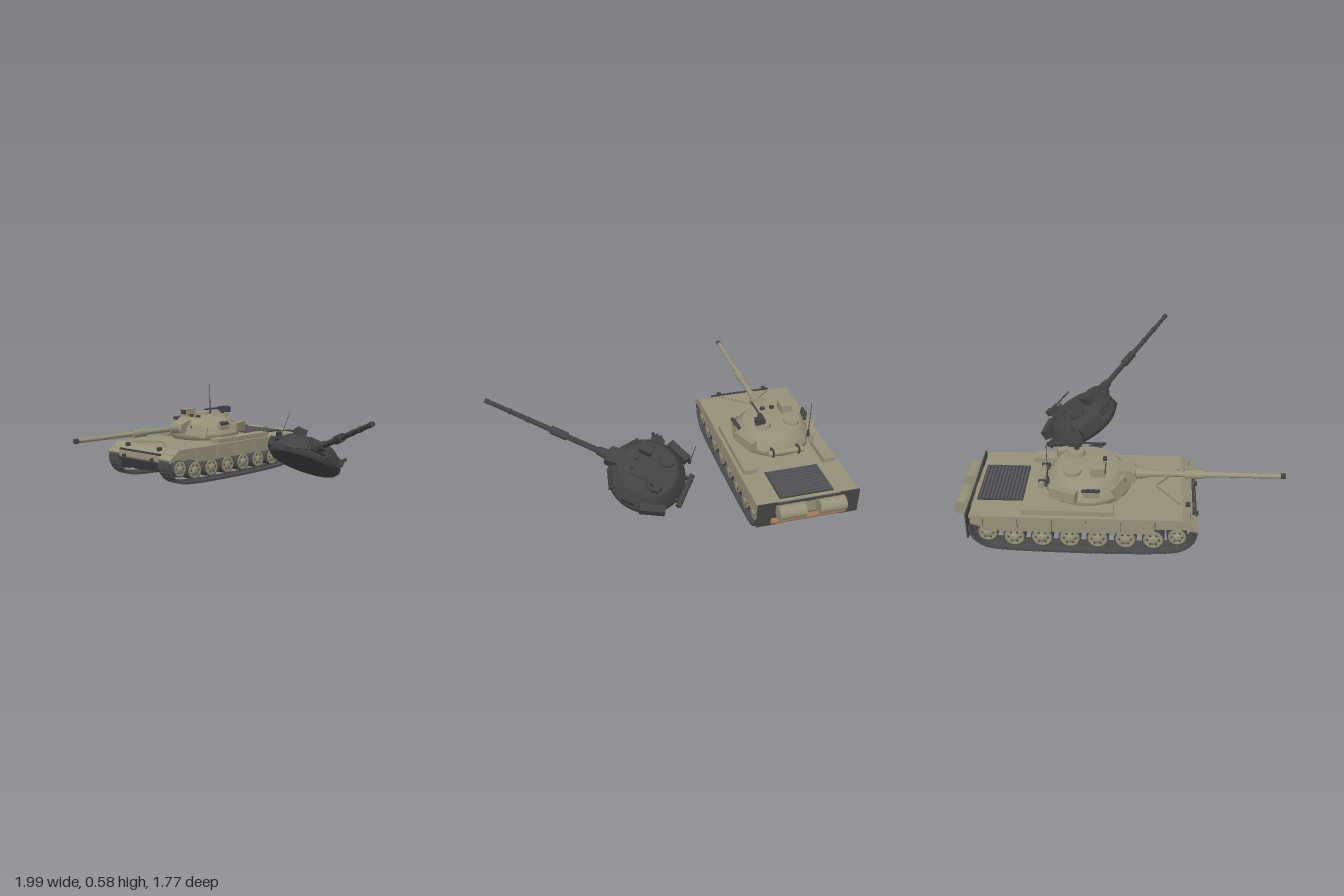
import * as THREE from 'three';

const mat = (name, color) => {
  const m = new THREE.MeshStandardMaterial({ color });
  m.name = name;
  return m;
};
const olive = mat('olive', 0x969178);
const steel = mat('trackSteel', 0x4a4a4c);
const charcoal = mat('charcoal', 0x424242);
const grille = mat('grilleGrey', 0x55555a);
const wood = mat('wood', 0xa07a55);

function add(parent, name, geo, material, x = 0, y = 0, z = 0, rx = 0, ry = 0, rz = 0) {
  const m = new THREE.Mesh(geo, material);
  m.name = name;
  m.position.set(x, y, z);
  m.rotation.set(rx, ry, rz);
  parent.add(m);
  return m;
}
const box = (w, h, d) => new THREE.BoxGeometry(w, h, d);
const cyl = (r1, r2, h, n = 20) => new THREE.CylinderGeometry(r1, r2, h, n);
const alongZ = (r1, r2, h, n = 20) => cyl(r1, r2, h, n).rotateX(Math.PI / 2);
const alongX = (r1, r2, h, n = 20) => cyl(r1, r2, h, n).rotateZ(-Math.PI / 2);
const lathe = (pts, n) => new THREE.LatheGeometry(pts.map(p => new THREE.Vector2(...p)), n);

// Side profile of (z, y) points, extruded across the width
function slab(points, width) {
  const s = new THREE.Shape(points.map(p => new THREE.Vector2(...p)));
  return new THREE.ExtrudeGeometry(s, { depth: width, bevelEnabled: false })
    .translate(0, 0, -width / 2).rotateY(-Math.PI / 2);
}

function makeTurret(name, body, dark) {
  const t = new THREE.Group();
  t.name = name;

  // Cast shell, built in creased bands, with a closed underside
  const bands = [[[0, 0], [0.215, 0]], [[0.215, 0], [0.234, 0.02], [0.232, 0.042]],
    [[0.232, 0.042], [0.21, 0.088], [0.178, 0.125]], [[0.178, 0.125], [0.165, 0.137], [0, 0.146]]];
  bands.forEach(b => add(t, 'turretShell', lathe(b, 40), body));

  // Mantlet and gun
  add(t, 'mantlet', slab([[0.15, 0.03], [0.255, 0.045], [0.265, 0.07], [0.255, 0.11], [0.2, 0.128], [0.12, 0.128]], 0.1), body);
  add(t, 'mantletCollar', alongZ(0.026, 0.032, 0.07), body, 0, 0.08, 0.29);
  add(t, 'gunBarrel', alongZ(0.013, 0.018, 0.8), body, 0, 0.08, 0.645);
  add(t, 'boreEvacuator', alongZ(0.025, 0.025, 0.105), body, 0, 0.08, 0.577);
  for (const z of [0.46, 0.78, 0.9]) add(t, 'barrelBand', alongZ(0.0175, 0.0175, 0.012), body, 0, 0.08, z);
  add(t, 'muzzle', alongZ(0.015, 0.015, 0.025), dark, 0, 0.08, 1.053);
  for (const s of [-1, 1]) {
    add(t, 'frontCheek', box(0.13, 0.075, 0.03), body, s * 0.115, 0.06, 0.175, -0.35, s * 0.55, 0);
    add(t, 'gunSight', alongZ(0.014, 0.014, 0.02), dark, s * 0.075, 0.085, 0.195);
  }

  // Stowage bins and smoke dischargers on both flanks
  for (const s of [-1, 1]) {
    add(t, 'sideBin', box(0.045, 0.06, 0.15), body, s * 0.203, 0.075, -0.115, 0, s * 0.35, 0);
    add(t, 'launcherBracket', box(0.04, 0.03, 0.08), body, s * 0.21, 0.085, 0.03);
    for (let i = 0; i < 3; i++)
      add(t, 'smokeDischarger', alongZ(0.01, 0.01, 0.05, 10), dark, s * 0.22, 0.108, 0.005 + i * 0.025, -0.5, s * 0.5, 0);
  }
  add(t, 'snorkelTube', alongX(0.017, 0.017, 0.22), body, 0, 0.055, -0.245);
  for (const x of [-0.08, 0.08]) add(t, 'snorkelStrap', box(0.012, 0.04, 0.05), dark, x, 0.055, -0.238);

  // Roof hatches and sight housing
  add(t, 'loaderHatch', cyl(0.046, 0.048, 0.022, 24), body, -0.093, 0.145, -0.075);
  add(t, 'commanderCupola', cyl(0.044, 0.052, 0.032, 24), body, 0.085, 0.148, -0.07);
  add(t, 'sightHousing', box(0.068, 0.055, 0.078), body, -0.102, 0.16, 0.06);
  add(t, 'sightGlass', box(0.05, 0.03, 0.006), dark, -0.102, 0.167, 0.1);
  for (const x of [-0.03, 0.03]) add(t, 'periscope', box(0.025, 0.016, 0.02), dark, x, 0.148, 0.09);

  // Roof machine gun
  add(t, 'gunMount', cyl(0.012, 0.018, 0.05, 12), dark, 0.1, 0.165, -0.07);
  add(t, 'gunReceiver', box(0.022, 0.028, 0.08), dark, 0.1, 0.195, -0.08);
  add(t, 'ammoBox', box(0.032, 0.035, 0.04), dark, 0.125, 0.188, -0.09);
  add(t, 'machineGunBarrel', alongZ(0.005, 0.006, 0.14, 8), dark, 0.1, 0.2, 0.025);

  // Whip antenna
  add(t, 'antennaBase', cyl(0.007, 0.009, 0.04, 10), dark, -0.153, 0.128, -0.2);
  add(t, 'antenna', cyl(0.0015, 0.0025, 0.2, 6), dark, -0.153, 0.24, -0.2);
  return t;
}

// Track loop of paired pads around a closed side path
function makeTrack() {
  const g = new THREE.Group();
  g.name = 'track';
  const pts = [[0.27, 0.013], [-0.64, 0.013], [-0.715, 0.03], [-0.77, 0.08], [-0.785, 0.14], [-0.745, 0.185],
    [-0.65, 0.19], [0.3, 0.19], [0.365, 0.188], [0.4, 0.14], [0.385, 0.08], [0.34, 0.035]];
  const curve = new THREE.CatmullRomCurve3(pts.map(([z, y]) => new THREE.Vector3(0, y, z)), true, 'centripetal');
  const n = 92, pad = box(0.044, 0.014, 0.025), link = box(0.1, 0.009, 0.031), guide = box(0.012, 0.016, 0.012);
  for (let i = 0; i < n; i++) {
    const p = curve.getPointAt(i / n), d = curve.getTangentAt(i / n);
    const unit = new THREE.Group();
    unit.name = 'trackLink';
    unit.position.copy(p);
    unit.rotation.x = Math.atan2(-d.y, d.z);
    for (const x of [-0.027, 0.027]) add(unit, 'trackPad', pad, steel, x, 0.003);
    add(unit, 'linkPlate', link, steel);
    add(unit, 'guideTooth', guide, steel, 0, -0.008);
    g.add(unit);
  }
  return g;
}

function makeWheel(name, r, side) {
  const w = new THREE.Group();
  w.name = name;
  add(w, 'tyre', alongX(r, r, 0.07, 28), steel);
  const dish = lathe([[r * 0.9, -0.037], [r * 0.9, 0.037], [r * 0.75, 0.039], [r * 0.68, 0.036],
    [r * 0.38, 0.036], [r * 0.34, 0.045], [r * 0.15, 0.047], [0, 0.047]], 28);
  add(w, 'wheelDisc', dish, olive, 0, 0, 0, 0, 0, -side * Math.PI / 2);
  for (let i = 0; i < 6; i++) {
    const a = i * Math.PI / 3;
    add(w, 'wheelHole', alongX(r * 0.1, r * 0.1, 0.004, 8), steel, side * 0.036, Math.sin(a) * r * 0.53, Math.cos(a) * r * 0.53);
  }
  return w;
}

function makeHull() {
  const h = new THREE.Group();
  h.name = 'hull';
  add(h, 'hullBody', slab([[0.33, 0.226], [0.4, 0.185], [0.402, 0.15], [0.365, 0.075], [0.3, 0.06],
    [-0.74, 0.06], [-0.785, 0.12], [-0.785, 0.226]], 0.39), olive);
  add(h, 'lowerFrontBlade', box(0.37, 0.07, 0.012), charcoal, 0, 0.113, 0.391, 0.46);
  add(h, 'frontBar', box(0.4, 0.012, 0.012), charcoal, 0, 0.193, 0.392);
  add(h, 'turretRing', cyl(0.215, 0.22, 0.015, 40), olive, 0, 0.231, -0.18);

  // Engine deck grille with slats
  add(h, 'engineGrille', box(0.325, 0.008, 0.245), charcoal, 0, 0.228, -0.642);
  for (let i = 0; i < 12; i++) add(h, 'grilleSlat', box(0.315, 0.007, 0.011), grille, 0, 0.234, -0.752 + i * 0.02);

  for (const s of [-1, 1]) {
    // Fenders, skirts and mudguards
    add(h, 'fender', slab([[0.33, 0.226], [0.41, 0.17], [0.405, 0.16], [0.326, 0.212], [-0.785, 0.212], [-0.785, 0.226]], 0.112), olive, s * 0.25);
    add(h, 'frontSkirt', slab([[0.328, 0.222], [0.408, 0.166], [0.408, 0.15], [0.35, 0.165], [0.19, 0.165], [0.19, 0.222]], 0.008), olive, s * 0.3);
    for (let i = 0; i < 5; i++) add(h, 'skirtPanel', box(0.01, 0.09, 0.176), olive, s * 0.301, 0.179, 0.098 - i * 0.18);
    add(h, 'rearSkirt', slab([[-0.715, 0.222], [-0.715, 0.15], [-0.78, 0.175], [-0.78, 0.222]], 0.008), olive, s * 0.3);
    add(h, 'rearFlap', box(0.115, 0.155, 0.008), charcoal, s * 0.248, 0.158, -0.8);
    add(h, 'fenderBox', box(0.078, 0.03, 0.48), olive, s * 0.246, 0.24, -0.27);

    // Splash boards, headlights and tow hooks
    add(h, 'splashBoard', box(0.205, 0.016, 0.006), olive, s * 0.085, 0.232, 0.255, 0, -s * 0.66);
    add(h, 'headlight', alongZ(0.014, 0.012, 0.025, 14), charcoal, s * 0.155, 0.222, 0.36);
    add(h, 'frontTowHook', box(0.014, 0.025, 0.025), charcoal, s * 0.137, 0.155, 0.408);

    // Rear fuel drums with hoops
    add(h, 'fuelDrum', alongX(0.042, 0.042, 0.158, 24), olive, s * 0.12, 0.194, -0.841);
    for (const x of [-0.074, -0.025, 0.025, 0.074]) add(h, 'drumHoop', alongX(0.044, 0.044, 0.007, 24), olive, s * 0.12 + x, 0.194, -0.841);
    add(h, 'drumBracket', box(0.012, 0.03, 0.05), charcoal, s * 0.12, 0.148, -0.805);

    // Running gear
    const track = makeTrack();
    track.position.x = s * 0.248;
    h.add(track);
    const place = (w, y, z) => { w.position.set(s * 0.248, y, z); h.add(w); };
    for (let i = 0; i < 6; i++) place(makeWheel('roadWheel', 0.06, s), 0.08, 0.18 - i * 0.147);
    place(makeWheel('idler', 0.054, s), 0.103, 0.305);
    place(makeWheel('driveSprocket', 0.056, s), 0.103, -0.695);
    for (const z of [0.1, -0.18, -0.48]) add(h, 'returnRoller', alongX(0.02, 0.02, 0.08, 14), olive, s * 0.235, 0.155, z);
  }
  add(h, 'rearBar', box(0.61, 0.012, 0.01), charcoal, 0, 0.222, -0.8);
  add(h, 'unditchingLog', alongX(0.017, 0.017, 0.45, 14), wood, 0, 0.115, -0.812);
  return h;
}

export function createModel() {
  const model = new THREE.Group();
  model.name = 'tankWithSpareTurret';
  const tank = new THREE.Group();
  tank.name = 'tank';
  tank.position.x = -0.69;
  const turret = makeTurret('turret', olive, charcoal);
  turret.position.set(0, 0.232, -0.18);
  tank.add(makeHull(), turret);

  // Burnt turret lying tilted on the ground
  const wreck = makeTurret('burntTurret', charcoal, charcoal);
  wreck.position.set(0.118, 0.122, -0.262);
  wreck.rotation.set(-Math.PI / 6, 0.953, 0);
  model.add(tank, wreck);
  return model;
}
